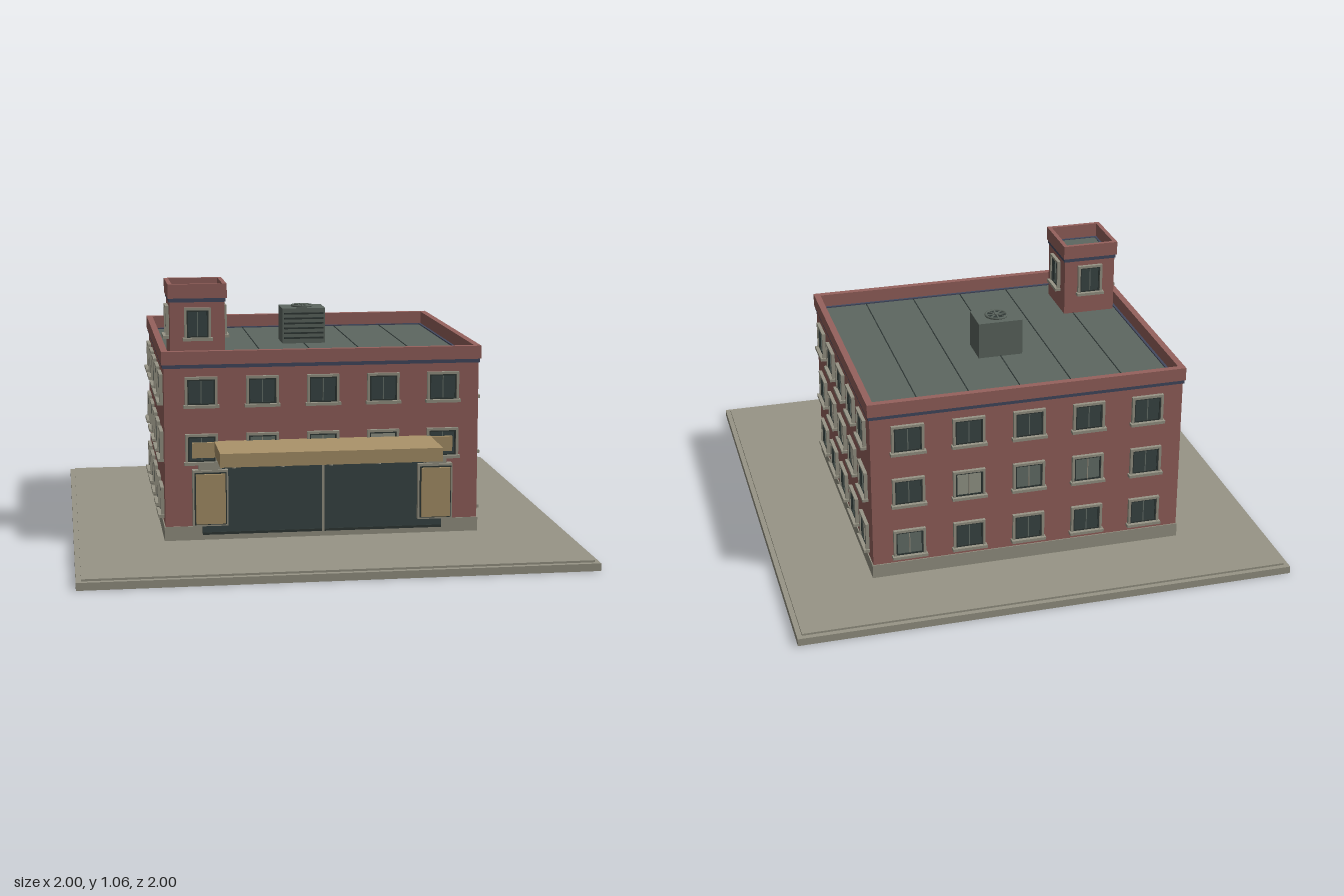
import * as THREE from 'three';

const mat = (name, color) => {
  const m = new THREE.MeshStandardMaterial({ color });
  m.name = name;
  return m;
};

export function createModel() {
  const M = {
    brick: mat('brick', 0x96625d),
    stone: mat('stone', 0x989586),
    roof: mat('roofing', 0x5d6760),
    tan: mat('awning tan', 0xab946a),
    glass: mat('dark glass', 0x3a4746),
    blind: mat('drawn blind', 0x66716a),
    curtain: mat('pale curtain', 0x979a8c),
    blue: mat('blue trim', 0x434a60),
    dark: mat('dark metal', 0x2f3836),
  };
  const model = new THREE.Group();
  model.name = 'brickBuilding';

  const add = (parent, name, geo, material, x = 0, y = 0, z = 0) => {
    const m = new THREE.Mesh(geo, material);
    m.name = name;
    m.position.set(x, y, z);
    parent.add(m);
    return m;
  };
  // box given by its low and high limits
  const box = (parent, name, material, x0, x1, y0, y1, z0, z1) =>
    add(parent, name, new THREE.BoxGeometry(x1 - x0, y1 - y0, z1 - z0), material,
      (x0 + x1) / 2, (y0 + y1) / 2, (z0 + z1) / 2);
  // rectangular frame in the xy plane, extruded along z
  const frameGeo = (w, h, t, depth) => {
    const rect = (P, a, b) => new P([[-a, -b], [a, -b], [a, b], [-a, b]].map(p => new THREE.Vector2(...p)));
    const s = rect(THREE.Shape, w / 2, h / 2);
    s.holes.push(rect(THREE.Path, w / 2 - t, h / 2 - t));
    return new THREE.ExtrudeGeometry(s, { depth, bevelEnabled: false });
  };
  // horizontal ring wall standing from y0 to y1
  const ring = (parent, name, material, w, d, t, x, y0, y1, z) => {
    const g = frameGeo(w, d, t, y1 - y0);
    g.rotateX(-Math.PI / 2);
    return add(parent, name, g, material, x, y0, z);
  };

  // ground slab
  box(model, 'slab', M.stone, -1, 1, 0, 0.03, -1, 1);
  box(model, 'pavement', M.stone, -0.98, 0.98, 0.03, 0.038, -0.98, 0.98);

  // main block
  const CZ = -0.1, HX = 0.635, HZ = 0.557;
  const block = new THREE.Group();
  block.name = 'mainBlock';
  model.add(block);
  box(block, 'walls', M.brick, -HX, HX, 0.09, 0.735, CZ - HZ, CZ + HZ);
  box(block, 'plinth', M.stone, -HX - 0.004, HX + 0.004, 0.038, 0.095, CZ - HZ - 0.004, CZ + HZ + 0.004);
  box(block, 'roof', M.roof, -0.615, 0.615, 0.735, 0.745, CZ - 0.54, CZ + 0.54);
  ring(block, 'trimBand', M.blue, 1.28, 1.122, 0.032, 0, 0.735, 0.75, CZ);
  ring(block, 'parapet', M.brick, 1.288, 1.13, 0.026, 0, 0.75, 0.803, CZ);
  for (let i = -2; i <= 2; i++)
    box(block, 'roofSeam', M.dark, i * 0.21 - 0.002, i * 0.21 + 0.002, 0.745, 0.747, CZ - 0.53, CZ + 0.53);

  // window, facing +z with its back on the wall
  const outer = (w, h) => frameGeo(w, h, 0.01, 0.014);
  const inner = (w, h) => frameGeo(w - 0.02, h - 0.02, 0.006, 0.009);
  const makeWindow = (w, h, pane) => {
    const g = new THREE.Group();
    g.name = 'window';
    add(g, 'windowSurround', outer(w, h), M.stone);
    add(g, 'windowFrame', inner(w, h), M.dark);
    box(g, 'windowPane', pane, -w / 2 + 0.014, w / 2 - 0.014, -h / 2 + 0.014, h / 2 - 0.014, 0, 0.005);
    box(g, 'mullion', pane === M.glass ? M.blind : M.stone, -0.002, 0.002, -h / 2 + 0.015, h / 2 - 0.015, 0.005, 0.009);
    box(g, 'sill', M.stone, -w / 2 - 0.006, w / 2 + 0.006, -h / 2 - 0.002, -h / 2 + 0.01, 0, 0.024);
    return g;
  };
  const place = (parent, win, x, y, z, turn) => {
    win.position.set(x, y, z);
    win.rotation.y = turn;
    parent.add(win);
  };
  const rows = [0.18, 0.41, 0.64];
  const paneFor = (row, i) => {
    if (row === 1 && i === 1) return M.curtain;
    if ((row === 1 && (i === 2 || i === 3)) || (row === 0 && i === 0)) return M.blind;
    return M.glass;
  };
  rows.forEach((y, r) => {
    for (let i = 0; i < 5; i++) {
      const x = (2 - i) * 0.244, z = CZ + (i - 2) * 0.211, p = paneFor(r, i);
      if (r > 0) place(block, makeWindow(0.13, 0.122, p), x, y, CZ + HZ, 0);
      place(block, makeWindow(0.13, 0.122, p), x, y, CZ - HZ, Math.PI);
      for (const s of [-1, 1]) place(block, makeWindow(0.13, 0.122, p), s * HX, y, z, s * Math.PI / 2);
    }
  });

  // shopfront
  const F = CZ + HZ;
  const shop = new THREE.Group();
  shop.name = 'shopfront';
  model.add(shop);
  box(shop, 'shopGlass', M.glass, -0.487, 0.487, 0.065, 0.345, F, F + 0.009);
  box(shop, 'shopThreshold', M.dark, -0.487, 0.487, 0.06, 0.07, F, F + 0.012);
  box(shop, 'shopHead', M.dark, -0.487, 0.487, 0.338, 0.35, F, F + 0.012);
  box(shop, 'shopMullion', M.stone, -0.005, 0.005, 0.06, 0.36, F, F + 0.015);
  for (const s of [-1, 1]) {
    const side = new THREE.Group();
    side.name = 'sidePanel';
    side.position.x = s * 0.456;
    shop.add(side);
    box(side, 'panelBack', M.stone, -0.071, 0.071, 0.1, 0.328, F, F + 0.03);
    add(side, 'panelFrame', frameGeo(0.128, 0.212, 0.005, 0.012), M.dark, 0, 0.213, F + 0.024);
    box(side, 'panelFace', M.tan, -0.059, 0.059, 0.112, 0.314, F + 0.03, F + 0.046);
    box(side, 'panelCap', M.stone, -0.047, 0.047, 0.328, 0.352, F, F + 0.024);
  }

  // awning and the sign band behind it
  box(shop, 'signBand', M.tan, -0.527, 0.527, 0.376, 0.437, F, F + 0.018);
  box(shop, 'awning', M.tan, -0.437, 0.437, 0.386, 0.44, F, 0.714);
  for (let i = -2; i <= 2; i++)
    add(shop, 'awningLamp', new THREE.CylinderGeometry(0.008, 0.008, 0.012, 10), M.stone, i * 0.19, 0.38, 0.67);

  // roof tower
  const tower = new THREE.Group();
  tower.name = 'tower';
  tower.position.set(-0.49, 0, 0.22);
  model.add(tower);
  const T = 0.11;
  box(tower, 'towerWalls', M.brick, -T, T, 0.74, 0.985, -T - 0.006, T + 0.006);
  box(tower, 'towerRoof', M.roof, -0.1, 0.1, 0.985, 0.996, -0.105, 0.105);
  ring(tower, 'towerTrim', M.blue, 0.228, 0.242, 0.022, 0, 0.983, 0.999, 0);
  ring(tower, 'towerParapet', M.brick, 0.236, 0.252, 0.017, 0, 0.999, 1.056, 0);
  for (let k = 0; k < 4; k++) {
    const a = k * Math.PI / 2, d = k % 2 ? T : T + 0.006;
    place(tower, makeWindow(0.107, 0.13, M.glass), Math.sin(a) * d, 0.896, Math.cos(a) * d, a);
  }

  // rooftop cooling unit with louvres and fan
  const unit = new THREE.Group();
  unit.name = 'coolingUnit';
  unit.position.set(0, 0, -0.172);
  model.add(unit);
  box(unit, 'unitBody', M.roof, -0.092, 0.092, 0.745, 0.896, -0.07, 0.07);
  for (let i = 0; i < 6; i++)
    box(unit, 'louvre', M.dark, -0.085, 0.085, 0.765 + i * 0.021, 0.772 + i * 0.021, 0.07, 0.076);
  add(unit, 'fanWell', new THREE.CylinderGeometry(0.042, 0.042, 0.004, 24), M.dark, 0, 0.898, 0);
  add(unit, 'fanRing', new THREE.TorusGeometry(0.043, 0.005, 6, 24).rotateX(Math.PI / 2), M.roof, 0, 0.9, 0);
  for (let i = 0; i < 4; i++)
    add(unit, 'fanBlade', new THREE.BoxGeometry(0.078, 0.003, 0.006), M.roof, 0, 0.9025, 0).rotation.y = i * Math.PI / 4;
  add(unit, 'fanHub', new THREE.CylinderGeometry(0.01, 0.01, 0.008, 12), M.roof, 0, 0.903, 0);

  return model;
}
